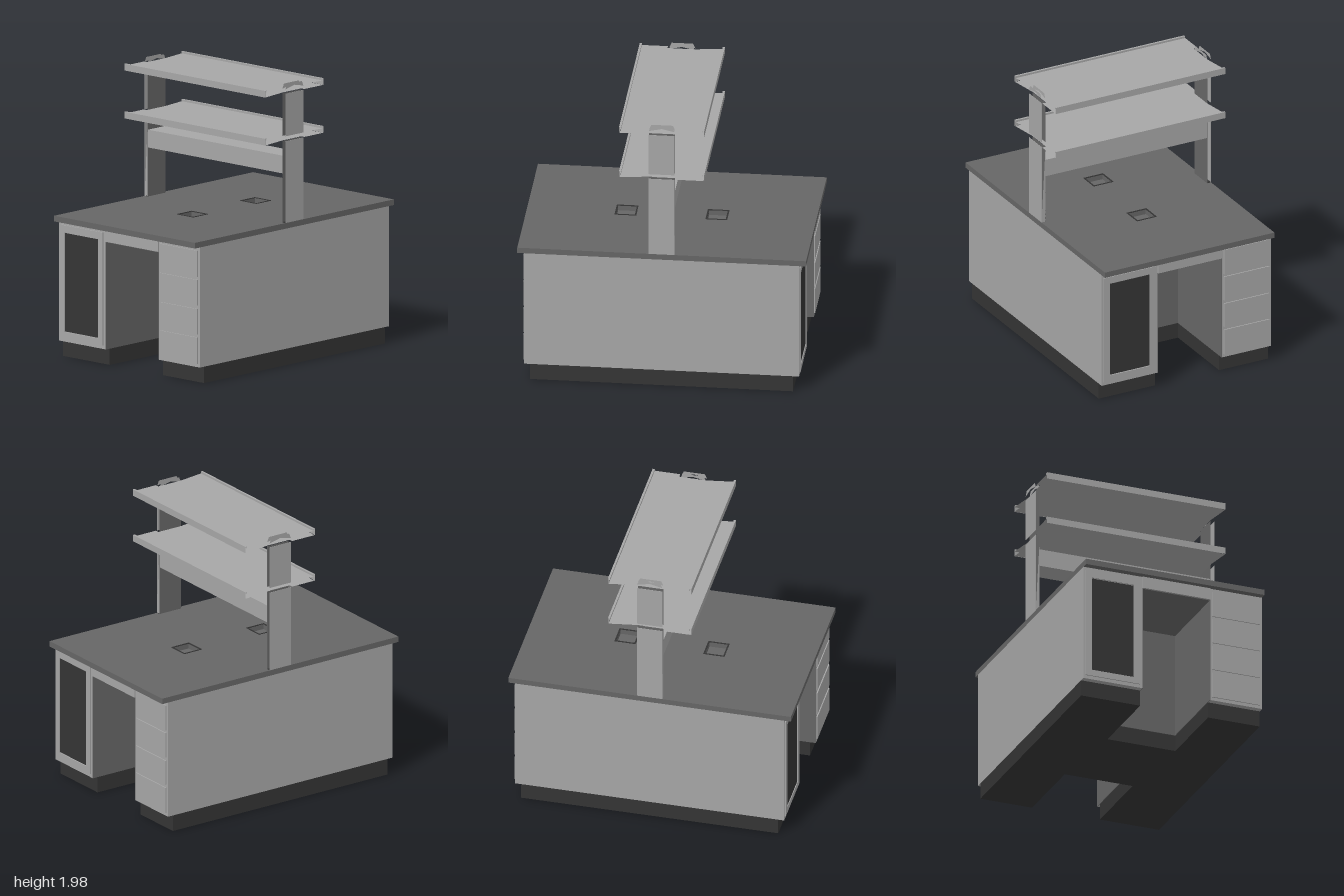
import * as THREE from 'three';

const mat = (name, color, side = THREE.FrontSide) => {
  const m = new THREE.MeshStandardMaterial({ color, side });
  m.name = name;
  return m;
};

export function createModel() {
  const light = mat('light grey panel', 0xa6a6a6, THREE.DoubleSide);
  const mid = mat('mid grey worktop', 0x666666, THREE.DoubleSide);
  const dark = mat('dark grey', 0x343434);

  const add = (parent, name, geometry, material) => {
    const mesh = new THREE.Mesh(geometry, material);
    mesh.name = name;
    parent.add(mesh);
    return mesh;
  };
  // Box given by its two extreme corners
  const box = (parent, name, material, x0, x1, y0, y1, z0, z1) => {
    const g = new THREE.BoxGeometry(x1 - x0, y1 - y0, z1 - z0);
    g.translate((x0 + x1) / 2, (y0 + y1) / 2, (z0 + z1) / 2);
    return add(parent, name, g, material);
  };
  const shapeOf = (points) => new THREE.Shape(points.map(([x, y]) => new THREE.Vector2(x, y)));

  const W = 0.665, FRONT = 0.952, CORE = 0.32, L = -0.225, R = 0.28;

  // One side of the bench; the other is the same turned half round
  function buildHalf() {
    const half = new THREE.Group();

    // Carcass, knee space and plinth
    box(half, 'doorCabinet', light, -W, L, 0.115, 0.96, CORE, FRONT);
    box(half, 'drawerCabinet', light, R, W, 0.115, 0.96, CORE, FRONT);
    box(half, 'apron', light, L, R, 0.875, 0.96, CORE + 0.08, FRONT + 0.008);
    box(half, 'kneeCeiling', mid, L, R, 0.87, 0.875, CORE, FRONT);
    box(half, 'kneeBack', mid, L, R, 0.115, 0.87, CORE, CORE + 0.005);
    box(half, 'kneeWallRight', mid, L, L + 0.004, 0.115, 0.87, CORE, FRONT);
    box(half, 'kneeWallLeft', mid, R - 0.004, R, 0.115, 0.87, CORE, FRONT);
    box(half, 'plinthRight', dark, -W, L, 0, 0.115, CORE, 0.91);
    box(half, 'plinthLeft', dark, R, W, 0, 0.115, CORE, 0.91);

    // Glazed door
    const door = shapeOf([[-0.65, 0.14], [-0.245, 0.14], [-0.245, 0.935], [-0.65, 0.935]]);
    door.holes.push(new THREE.Path([[-0.605, 0.185], [-0.29, 0.185], [-0.29, 0.885], [-0.605, 0.885]]
      .map(([x, y]) => new THREE.Vector2(x, y))));
    add(half, 'doorFrame', new THREE.ExtrudeGeometry(door, { depth: 0.008, bevelEnabled: false }), light)
      .position.z = FRONT;
    box(half, 'doorGlass', dark, -0.602, -0.293, 0.188, 0.88, FRONT, FRONT + 0.004);

    // Drawer fronts
    for (const [y0, y1] of [[0.75, 0.935], [0.55, 0.73], [0.347, 0.525], [0.138, 0.325]]) {
      box(half, 'drawerFront', light, 0.293, 0.647, y0, y1, FRONT, FRONT + 0.008);
    }

    // Cup sink: dark rim, light walls, grey floor
    const rim = shapeOf([[-0.08, -0.39], [0.075, -0.39], [0.075, -0.24], [-0.08, -0.24]]);
    rim.holes.push(new THREE.Path([[-0.07, -0.38], [0.065, -0.38], [0.065, -0.25], [-0.07, -0.25]]
      .map(([x, y]) => new THREE.Vector2(x, y))));
    const rimMesh = add(half, 'sinkRim', new THREE.ExtrudeGeometry(rim, { depth: 0.004, bevelEnabled: false }), dark);
    rimMesh.rotation.x = -Math.PI / 2;
    rimMesh.position.y = 0.999;
    box(half, 'sinkFloor', mid, -0.08, 0.075, 0.961, 0.964, 0.24, 0.39);
    box(half, 'sinkWall', light, -0.08, 0.075, 0.964, 0.998, 0.24, 0.244);
    box(half, 'sinkWall', light, -0.08, -0.076, 0.964, 0.998, 0.24, 0.39);

    // Hollow upright: outer and inner sheets, split where the shelves pass
    for (const [y0, y1] of [[1, 1.575], [1.61, 1.91]]) {
      box(half, 'uprightOuter', light, -W, -W + 0.002, y0, y1, -0.09, 0.09);
      box(half, 'uprightInner', mid, -0.637, -0.635, y0, y1, -0.09, 0.09);
    }
    box(half, 'uprightFoot', dark, -0.663, -0.637, 1, 1.004, -0.09, 0.09);
    const gusset = add(half, 'uprightGusset',
      new THREE.ShapeGeometry(shapeOf([[-W, 1], [-0.635, 1], [-0.635, 1.55]])), light);
    gusset.position.z = 0.09;

    // Thin notched cap at the top of the upright
    const capShape = shapeOf([[-0.09, 1.94], [0, 1.96], [0.09, 1.94], [0.075, 1.975], [-0.075, 1.975]]);
    for (const x of [-W, -0.636]) {
      const cap = add(half, 'uprightCap', new THREE.ShapeGeometry(capShape), light);
      cap.rotation.y = Math.PI / 2;
      cap.position.x = x;
    }
    return half;
  }

  const model = new THREE.Group();
  model.name = 'laboratoryBench';
  const front = buildHalf();
  front.name = 'frontSide';
  const back = buildHalf();
  back.name = 'backSide';
  back.rotation.y = Math.PI;
  model.add(front, back);

  // Service core between the two sides
  box(model, 'serviceCore', light, -W, W, 0.115, 0.96, -CORE, CORE);
  box(model, 'corePlinth', dark, -W, W, 0, 0.115, -CORE, CORE);

  // Worktop with two sink cut-outs
  const top = shapeOf([[-W, -1], [W, -1], [W, 1], [-W, 1]]);
  for (const s of [-1, 1]) {
    top.holes.push(new THREE.Path([[-0.07, 0.25], [0.065, 0.25], [0.065, 0.38], [-0.07, 0.38]]
      .map(([x, y]) => new THREE.Vector2(-x * s, y * s))));
  }
  const worktop = add(model, 'worktop', new THREE.ExtrudeGeometry(top, { depth: 0.04, bevelEnabled: false }), mid);
  worktop.rotation.x = -Math.PI / 2;
  worktop.position.y = 0.96;

  // Service trunking between the uprights
  box(model, 'trunking', light, -0.635, 0.635, 1.345, 1.47, -0.088, 0.088);

  // Open-ended sheet shelves, notched round the uprights, with lips on the long edges
  const sheet = shapeOf([[-W, -0.29], [W, -0.29], [W, -0.1], [0.635, -0.1], [0.635, 0.09],
    [W, 0.29], [-W, 0.29], [-W, 0.1], [-0.635, 0.1], [-0.635, -0.09]]);
  for (const y of [1.577, 1.914]) {
    const shelf = new THREE.Group();
    shelf.name = 'shelf';
    shelf.position.y = y;
    model.add(shelf);
    for (const [name, h] of [['shelfTop', 0.033], ['shelfUnderside', 0]]) {
      const m = add(shelf, name, new THREE.ShapeGeometry(sheet), light);
      m.rotation.x = Math.PI / 2;
      m.position.y = h;
    }
    for (const s of [-1, 1]) {
      const z = (a, b) => [Math.min(a * s, b * s), Math.max(a * s, b * s)];
      box(shelf, 'shelfEdge', light, -W, W, 0, 0.047, ...z(0.293, 0.295));
      box(shelf, 'shelfLipRim', light, -W, W, 0.045, 0.047, ...z(0.28, 0.295));
      box(shelf, 'shelfLipInner', light, -W, W, 0.033, 0.047, ...z(0.28, 0.282));
    }
  }
  return model;
}
